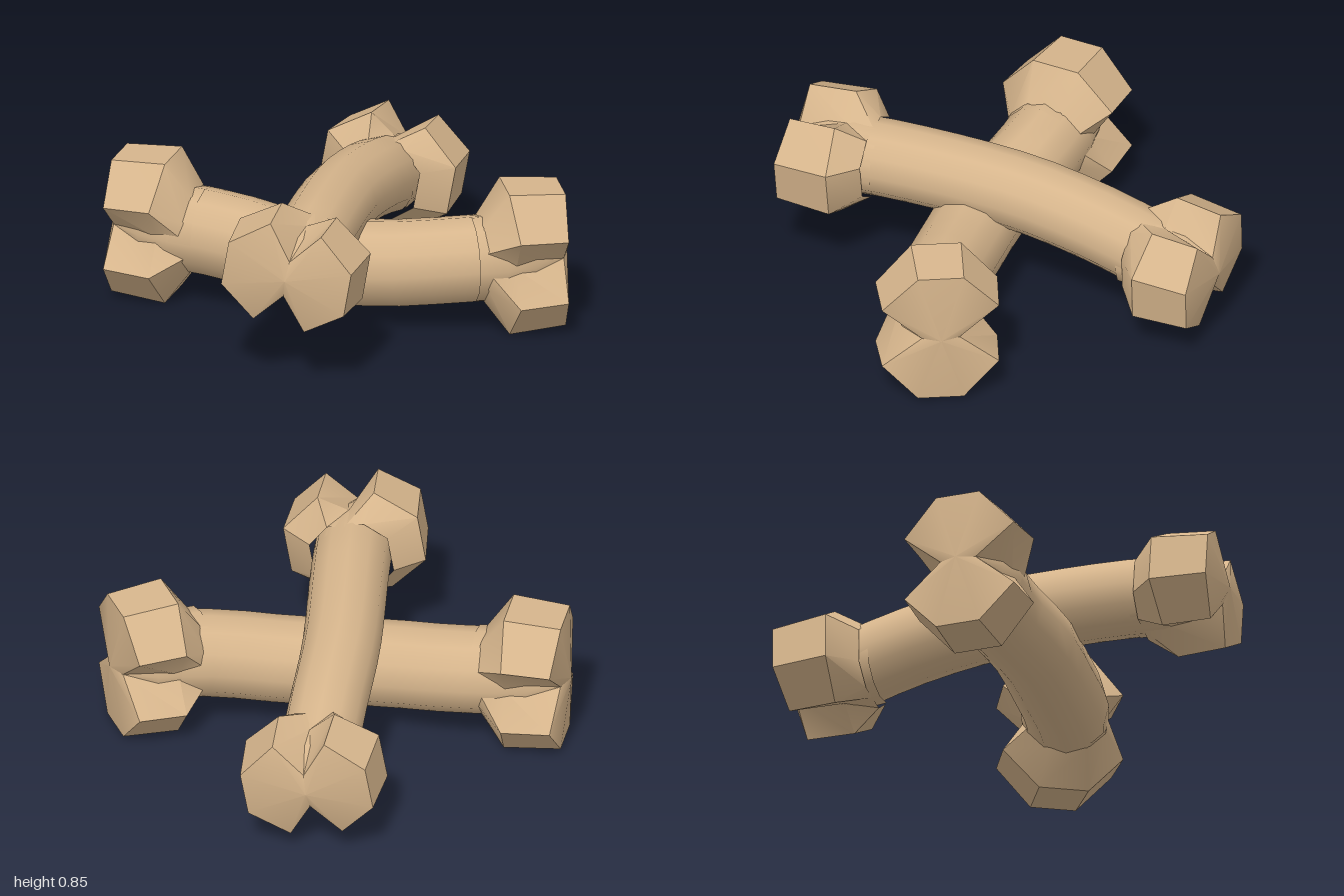
import * as THREE from 'three';
import { toCreasedNormals } from 'three/addons/utils/BufferGeometryUtils.js';

const bone = new THREE.MeshStandardMaterial({ color: 0xd6b58c });
bone.name = 'bone tan';

const V = (p) => new THREE.Vector3(...p);

// Two-lobed outline, pinched at the waist, counter-clockwise about +z.
// tip, side and waist are [x, y, z] of one quarter.
function lobeRing(tip, side, waist) {
  const flipY = ([x, y, z]) => [x, -y, z];
  const right = [flipY(tip), flipY(side), waist, side, tip];
  return [...right, ...right.map(([x, y, z]) => [-x, -y, z])];
}

// Knob lofted along +z, lobes stacked along y, closed with a slightly domed end
function knobGeometry(reach, girth) {
  const rings = [
    lobeRing([0.09, 0.19, -0.26], [0.18, 0.09, -0.26], [0.18, 0, -0.26]),
    lobeRing([0.12, reach, -0.14], [girth, reach - 0.19, -0.12], [0.18, 0, -0.12]),
    lobeRing([0.11, reach - 0.02, 0.135], [girth - 0.012, reach - 0.2, 0.115], [0.09, 0, 0.13]),
  ];
  const n = rings[0].length;
  const positions = rings.flat(2);
  positions.push(0, 0, 0.165);
  const index = [];
  for (let i = 0; i < n; i++) {
    const j = (i + 1) % n;
    for (let r = 0; r < rings.length - 1; r++) {
      const a = r * n, b = a + n;
      index.push(a + i, a + j, b + j, a + i, b + j, b + i);
    }
    const c = (rings.length - 1) * n;
    index.push(rings.length * n, c + i, c + j);
  }
  const g = new THREE.BufferGeometry();
  g.setAttribute('position', new THREE.Float32BufferAttribute(positions, 3));
  g.setIndex(index);
  return toCreasedNormals(g, 0.6);
}

// Neck carries the shaft into the valley between the lobes
function neckGeometry(radius) {
  const profile = [[radius * 0.98, -0.3], [radius, -0.16], [radius * 0.85, -0.02], [0.09, 0.13]];
  return new THREE.LatheGeometry(profile.map(([x, y]) => new THREE.Vector2(x, y)), 12).rotateX(Math.PI / 2);
}

// One bone: a gently bent shaft, tapering necks and a two-lobed knob at each end
function makeBone(name, middle, radius, reach, girth, ends) {
  const group = new THREE.Group();
  group.name = name;

  const bases = ends.map(({ at, out, lobes }, i) => {
    const t = V(out).normalize();
    const u = V(lobes).cross(t).normalize();
    const w = t.clone().cross(u);
    const end = new THREE.Group();
    end.name = i ? 'secondEnd' : 'firstEnd';
    end.quaternion.setFromRotationMatrix(new THREE.Matrix4().makeBasis(u, w, t));
    end.position.set(...at);

    const knob = new THREE.Mesh(knobGeometry(reach, girth), bone);
    knob.name = 'knob';
    const neck = new THREE.Mesh(neckGeometry(radius), bone);
    neck.name = 'neck';
    end.add(knob, neck);
    group.add(end);
    return V(at).addScaledVector(t, -0.17);
  });

  const curve = new THREE.CatmullRomCurve3([bases[0], ...middle.map(V), bases[1]]);
  const shaft = new THREE.Mesh(new THREE.TubeGeometry(curve, 10, radius, 12), bone);
  shaft.name = 'shaft';
  group.add(shaft);
  return group;
}

export function createModel() {
  const model = new THREE.Group();
  model.name = 'crossedBones';

  // Upper bone, front-left of the plan to back-right, lobes side by side
  const flat = [0.69, -0.17, 0.72];
  model.add(makeBone('upperBone',
    [[-0.38, 0.57, 0.37], [0.04, 0.525, -0.075], [0.36, 0.45, -0.36]],
    0.188, 0.327, 0.265,
    [{ at: [-0.655, 0.565, 0.645], out: [-0.72, 0, 0.69], lobes: flat },
     { at: [0.69, 0.36, -0.65], out: [0.76, -0.06, -0.65], lobes: flat }]));

  // Lower bone, bowed sideways, lobes stacked
  const up = [0, 1, 0];
  model.add(makeBone('lowerBone',
    [[-0.44, 0.345, -0.33], [-0.24, 0.31, -0.03], [0.05, 0.305, 0.25], [0.34, 0.345, 0.485]],
    0.21, 0.358, 0.292,
    [{ at: [-0.705, 0.362, -0.645], out: [-0.63, 0, -0.775], lobes: up },
     { at: [0.675, 0.362, 0.645], out: [0.945, 0, 0.325], lobes: up }]));

  return model;
}
